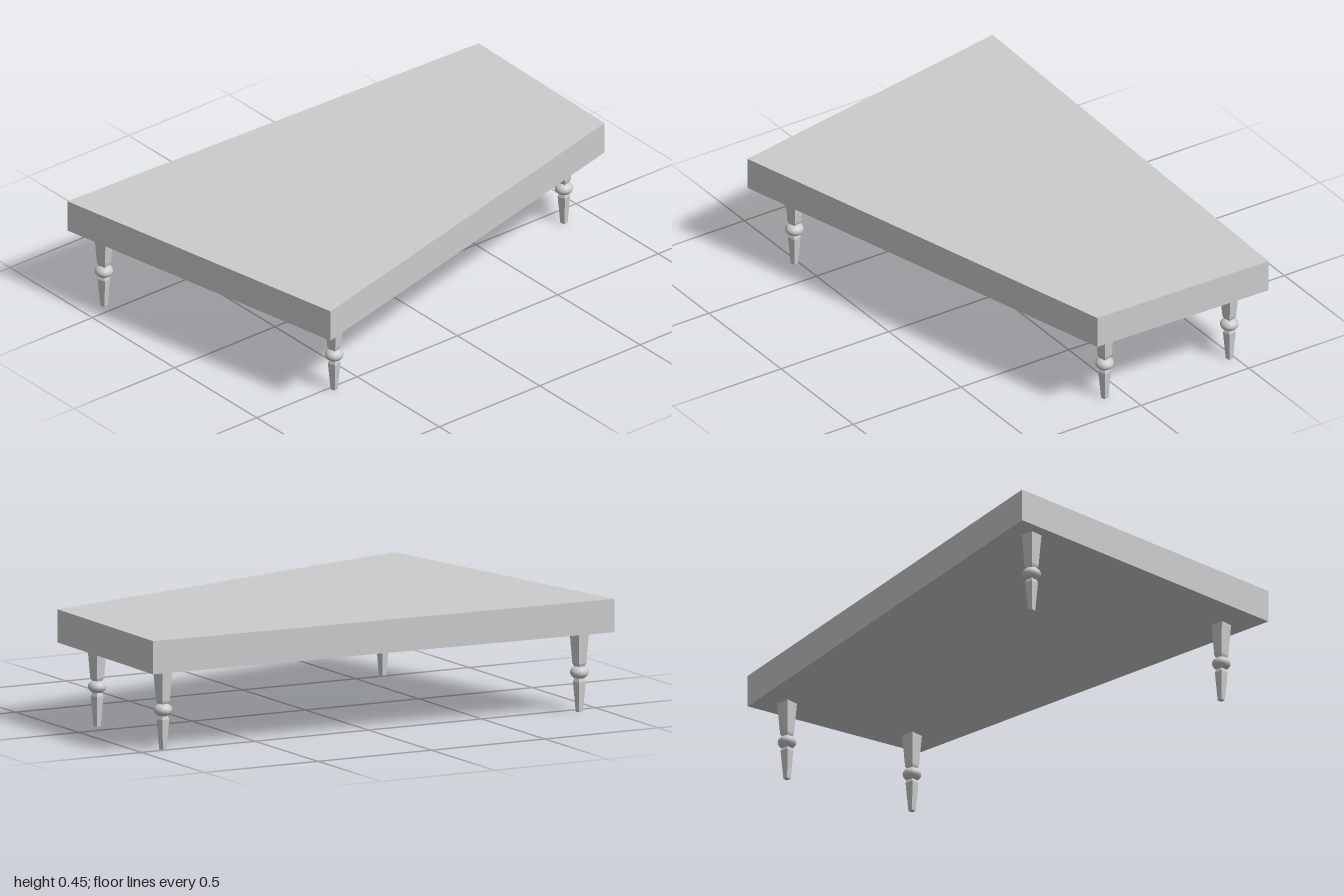
import * as THREE from 'three';

const material = new THREE.MeshStandardMaterial({ color: 0xcccccc });
const flat = new THREE.MeshStandardMaterial({ color: 0xcccccc, flatShading: true });

function part(name, geometry, mat) {
  const mesh = new THREE.Mesh(geometry, mat);
  mesh.name = name;
  return mesh;
}

// Square-section post from [half width, height] pairs, bottom to top
function squarePost(profile) {
  const points = profile.map(([h, y]) => new THREE.Vector2(h * Math.SQRT2, y));
  return new THREE.LatheGeometry(points, 4, Math.PI / 4);
}

function createLeg() {
  const leg = new THREE.Group();
  const foot = squarePost([[0, 0], [0.01, 0], [0.0175, 0.118], [0.013, 0.132], [0, 0.132]]);
  const upper = squarePost([[0, 0.178], [0.014, 0.178], [0.019, 0.19], [0.027, 0.32], [0, 0.32]]);
  const ball = new THREE.SphereGeometry(0.036, 32, 20);
  ball.scale(1, 0.026 / 0.036, 1).translate(0, 0.155, 0);
  leg.add(part('legFoot', foot, flat), part('legBall', ball, material), part('legUpper', upper, flat));
  return leg;
}

export function createModel() {
  const model = new THREE.Group();
  model.name = 'table';

  // Irregular four-sided slab, outlined in x and z
  const outline = [[-1, -0.652], [1, -0.592], [0.985, 0.193], [-0.755, 0.65]];
  const shape = new THREE.Shape(outline.map(([x, z]) => new THREE.Vector2(x, z)));
  const slab = new THREE.ExtrudeGeometry(shape, { depth: 0.13, bevelEnabled: false });
  slab.rotateX(Math.PI / 2).translate(0, 0.45, 0);
  model.add(part('tableTop', slab, flat));

  // Legs set in from each corner, turned in line with the slanted front edge
  const legs = {
    backRightLeg: [-0.905, -0.545],
    backLeftLeg: [0.895, -0.48],
    frontLeftLeg: [0.872, 0.083],
    frontRightLeg: [-0.628, 0.517],
  };
  for (const [name, [x, z]] of Object.entries(legs)) {
    const leg = createLeg();
    leg.name = name;
    leg.position.set(x, 0, z);
    leg.rotation.y = 0.25;
    model.add(leg);
  }
  return model;
}
